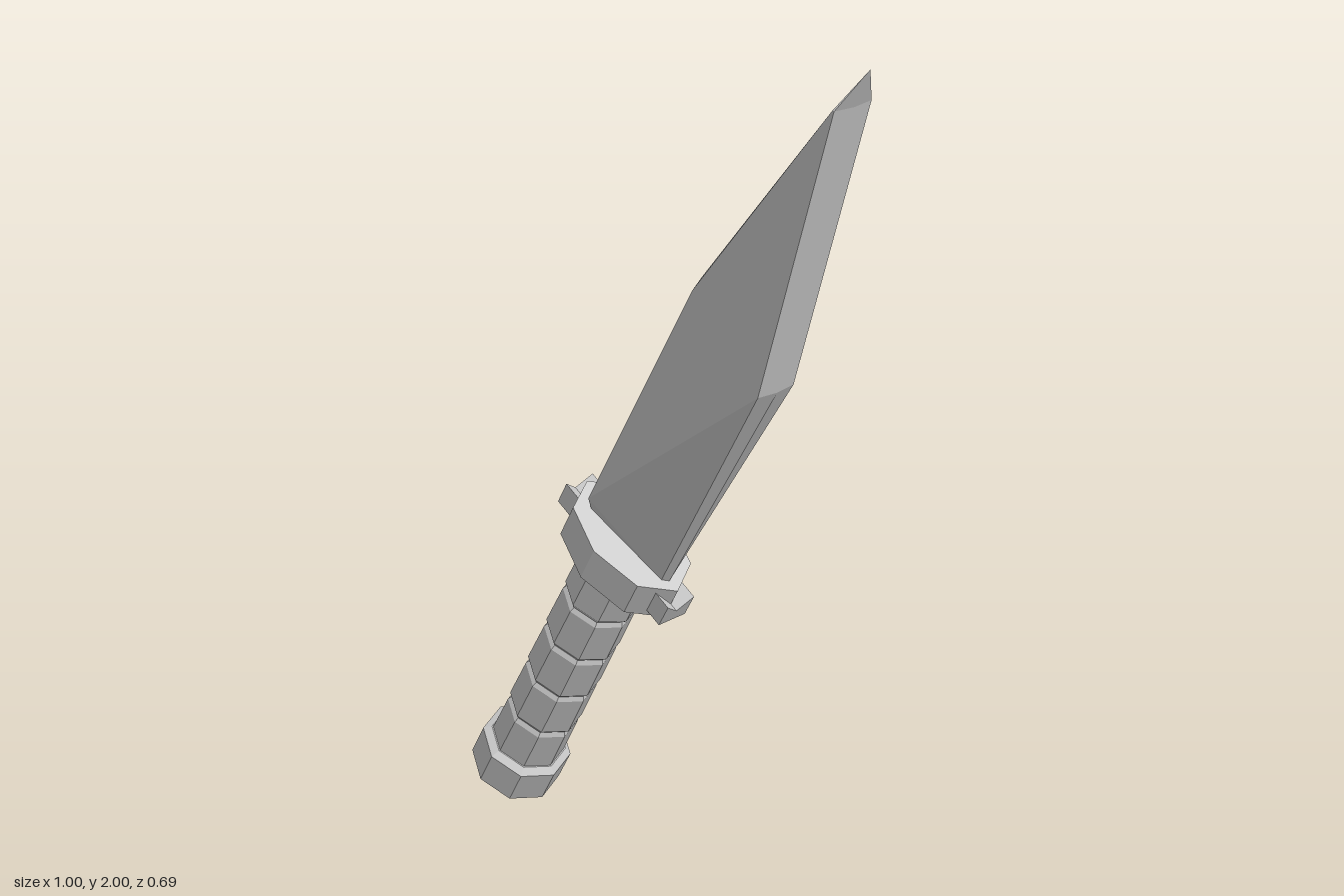
import * as THREE from 'three';

const material = new THREE.MeshStandardMaterial({ color: 0xcccccc, flatShading: true });

function add(parent, name, geometry, x = 0, y = 0, z = 0) {
  const mesh = new THREE.Mesh(geometry, material);
  mesh.name = name;
  mesh.position.set(x, y, z);
  parent.add(mesh);
  return mesh;
}

// Joins rings of equal length into a closed solid
function loft(rings) {
  const n = rings[0].length;
  const index = [];
  for (let i = 0; i < rings.length - 1; i++) {
    for (let j = 0; j < n; j++) {
      const a = i * n + j, b = i * n + (j + 1) % n;
      index.push(a, b, b + n, a, b + n, a + n);
    }
  }
  for (let j = 1; j < n - 1; j++) index.push(0, j + 1, j);
  const geometry = new THREE.BufferGeometry();
  geometry.setAttribute('position', new THREE.Float32BufferAttribute(rings.flat(2), 3));
  geometry.setIndex(index);
  const flat = geometry.toNonIndexed();
  flat.computeVertexNormals();
  return flat;
}

// Six-sided blade section: spine ridge, spine corners, edge corners, edge ridge
function section(spine, edge, spineY, edgeY, spineHalf, edgeHalf, spineRidge, edgeRidge) {
  return [
    [spine - spineRidge, spineY, 0],
    [spine, spineY, spineHalf],
    [edge, edgeY, edgeHalf],
    [edge + edgeRidge, edgeY, 0],
    [edge, edgeY, -edgeHalf],
    [spine, spineY, -spineHalf],
  ];
}

export function createModel() {
  const model = new THREE.Group();
  model.name = 'knife';

  // Local frame: x across the blade, y along the knife, z through its thickness
  const knife = new THREE.Group();
  knife.name = 'tiltedKnife';
  const across = new THREE.Vector3(0.743, -0.48, 0.466).normalize();
  const thick = new THREE.Vector3(-0.531, 0, 0.847).normalize();
  const along = new THREE.Vector3().crossVectors(thick, across).normalize();
  knife.quaternion.setFromRotationMatrix(new THREE.Matrix4().makeBasis(across, along, thick));
  knife.position.set(-0.326, 0.208, -0.195);
  model.add(knife);

  // Blade, undercut above the guard and drawn to a point
  add(knife, 'blade', loft([
    section(-0.09, 0.1, 0.66, 0.65, 0.035, 0.012, 0.02, 0.01),
    section(-0.11, 0.125, 0.7, 0.675, 0.05, 0.015, 0.025, 0.01),
    section(-0.105, 0.145, 1.36, 1.3, 0.05, 0.05, 0.025, 0.004),
    section(-0.002, 0.002, 1.952, 1.952, 0.05, 0.05, 0.012, 0.004),
    section(0, 0, 2.042, 2.042, 0, 0, 0, 0),
  ]));

  // Oval eight-sided guard
  const guard = new THREE.CylinderGeometry(1, 1, 0.09, 8);
  guard.scale(0.165, 1, 0.11);
  add(knife, 'guard', guard, 0, 0.63, 0);

  // Notched studs on both ends of the guard
  const notch = new THREE.Shape([
    [-0.038, -0.03], [0.038, -0.03], [0.038, 0.03], [0, 0], [-0.038, 0.03],
  ].map(([x, y]) => new THREE.Vector2(x, y)));
  for (const side of [-1, 1]) {
    const stud = add(knife, 'guardStud',
      new THREE.ExtrudeGeometry(notch, { depth: 0.06, bevelEnabled: false }), side * 0.125, 0.63, 0);
    stud.rotation.y = side * Math.PI / 2;
  }

  // Grip of five bands with shallow grooves between them
  const bottom = -0.09, bands = 5, step = (0.6 - bottom) / bands;
  const profile = [];
  for (let i = 0; i < bands; i++) {
    const y = bottom + i * step;
    profile.push(new THREE.Vector2(0.079, y), new THREE.Vector2(0.087, y + 0.012),
      new THREE.Vector2(0.085, y + step - 0.012), new THREE.Vector2(0.079, y + step));
  }
  add(knife, 'grip', new THREE.LatheGeometry(profile, 8));

  // Pommel with a small chamfer towards the grip
  add(knife, 'pommel', new THREE.CylinderGeometry(0.107, 0.107, 0.09, 8), 0, -0.134, 0);
  add(knife, 'pommelChamfer', new THREE.CylinderGeometry(0.09, 0.107, 0.014, 8), 0, -0.082, 0);

  return model;
}
